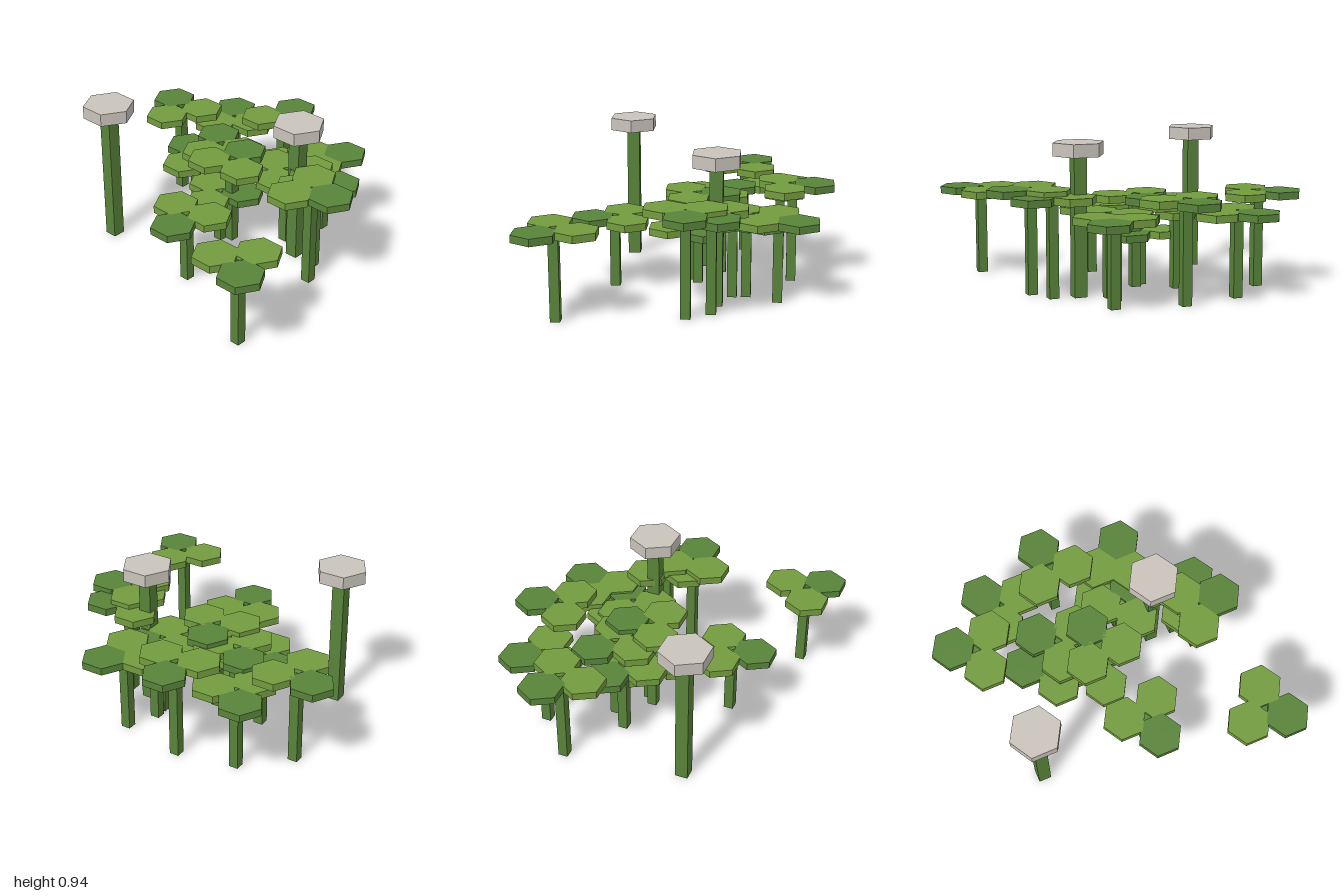
import * as THREE from 'three';

const mat = (name, color) => {
  const m = new THREE.MeshStandardMaterial({ color });
  m.name = name;
  return m;
};

// Straight-sided hexagonal disc with corners pointing along x
const hexDisc = (radius, height) =>
  new THREE.CylinderGeometry(radius, radius, height, 6, 1, false, Math.PI / 6).toNonIndexed();

// Stem x, stem z, leaf height, direction of the dark leaf (degrees, from +x towards +z)
const CLOVERS = [
  [0.75, 0.705, 0.545, 42],
  [0.082, 0.44, 0.435, 79],
  [-0.732, -0.338, 0.585, 206],
  [-0.1, -0.66, 0.615, 261],
  [-0.47, -0.583, 0.51, 230],
  [0.317, -0.578, 0.51, 300],
  [-0.355, -0.105, 0.465, 202],
  [-0.24, -0.21, 0.535, 220],
  [-0.02, -0.073, 0.565, 262],
  [-0.075, -0.025, 0.33, 320],
  [0.647, -0.045, 0.635, -4],
  [0.56, -0.19, 0.605, -20],
  [0.24, -0.3, 0.497, 314],
  [0.232, -0.385, 0.48, 307],
];

const FLOWERS = [[-0.62, 0.4], [0.4, -0.21]];

export function createModel() {
  const model = new THREE.Group();
  model.name = 'cloverPatch';

  const darkGreen = mat('dark leaf green', 0x588339);
  const lightGreen = mat('light leaf green', 0x739b3f);
  const blossom = mat('blossom grey', 0xc9c3bb);
  for (const m of [darkGreen, lightGreen, blossom]) m.flatShading = true;

  const leafGeo = hexDisc(0.14, 0.046);
  const headGeo = hexDisc(0.16, 0.08);

  const add = (parent, name, geo, material, x, y, z) => {
    const mesh = new THREE.Mesh(geo, material);
    mesh.name = name;
    mesh.position.set(x, y, z);
    parent.add(mesh);
  };

  // Square stem standing on the ground
  const addStem = (parent, width, height) =>
    add(parent, 'stem', new THREE.BoxGeometry(width, height, width), darkGreen, 0, height / 2, 0);

  // Clovers: one dark and two light leaves around a stem
  for (const [x, z, y, angle] of CLOVERS) {
    const clover = new THREE.Group();
    clover.name = 'clover';
    clover.position.set(x, 0, z);
    addStem(clover, 0.06, y);
    for (let i = 0; i < 3; i++) {
      const a = THREE.MathUtils.degToRad(angle + i * 120);
      add(clover, i ? 'lightLeaf' : 'darkLeaf', leafGeo, i ? lightGreen : darkGreen,
        0.14 * Math.cos(a), y, 0.14 * Math.sin(a));
    }
    model.add(clover);
  }

  // Tall flowers with a single thick head
  for (const [x, z] of FLOWERS) {
    const flower = new THREE.Group();
    flower.name = 'flower';
    flower.position.set(x, 0, z);
    addStem(flower, 0.08, 0.88);
    add(flower, 'flowerHead', headGeo, blossom, 0, 0.9, 0);
    model.add(flower);
  }
  return model;
}
